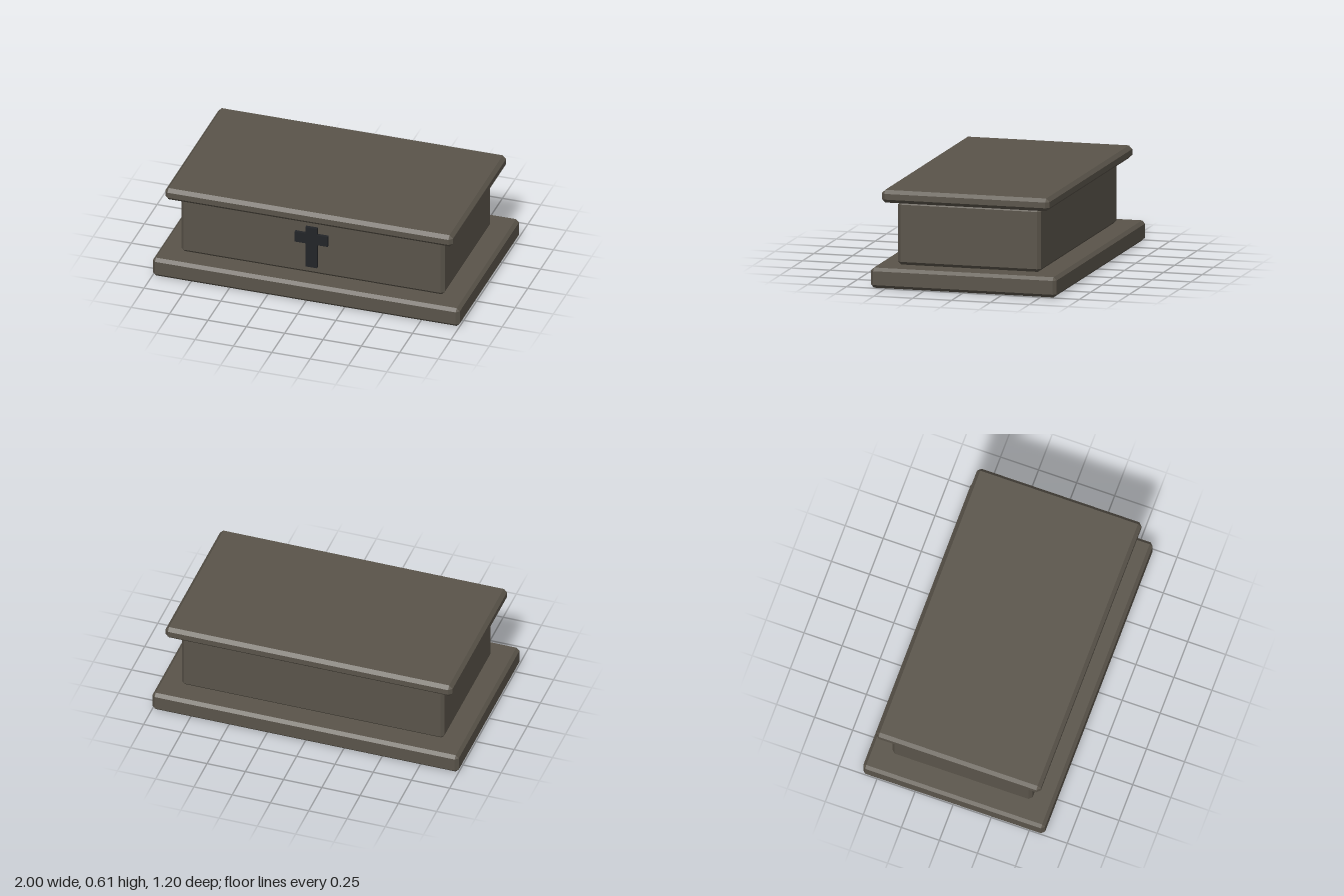
import * as THREE from 'three';
import { ConvexGeometry } from 'three/addons/geometries/ConvexGeometry.js';

// Box with bevelled edges: three points around each corner, wrapped in a hull
function chamferBox(w, h, d, b) {
  const points = [];
  for (const sx of [-1, 1]) for (const sy of [-1, 1]) for (const sz of [-1, 1]) {
    const x = w / 2, y = h / 2, z = d / 2;
    points.push(
      new THREE.Vector3(sx * x, sy * (y - b), sz * (z - b)),
      new THREE.Vector3(sx * (x - b), sy * y, sz * (z - b)),
      new THREE.Vector3(sx * (x - b), sy * (y - b), sz * z)
    );
  }
  return new ConvexGeometry(points);
}

export function createModel() {
  const stone = new THREE.MeshStandardMaterial({ color: 0x5a544a });
  stone.name = 'weathered stone';
  const iron = new THREE.MeshStandardMaterial({ color: 0x222428 });
  iron.name = 'dark iron';

  const model = new THREE.Group();
  model.name = 'stoneTomb';

  // Stacked slabs: name, width, bottom, top, depth, bevel, z offset
  const slabs = [
    ['base', 2.0, 0.003, 0.13, 1.195, 0.02, 0],
    ['body', 1.715, 0.13, 0.53, 0.92, 0.02, 0.004],
    ['lid', 1.875, 0.53, 0.61, 1.08, 0.022, 0.006],
  ];
  for (const [name, w, y0, y1, d, bevel, z] of slabs) {
    const slab = new THREE.Mesh(chamferBox(w, y1 - y0, d, bevel), stone);
    slab.name = name;
    slab.position.set(0, (y0 + y1) / 2, z);
    model.add(slab);
  }

  // Raised cross on the front of the body, as one outline
  const half = [[0.038, 0.19], [0.038, 0.355], [0.108, 0.355], [0.108, 0.425], [0.038, 0.425], [0.038, 0.47]];
  const mirrored = half.map(([x, y]) => [-x, y]).reverse();
  const outline = new THREE.Shape([...half, ...mirrored].map(([x, y]) => new THREE.Vector2(x, y)));
  const cross = new THREE.Mesh(new THREE.ExtrudeGeometry(outline, { depth: 0.035, bevelEnabled: false }), iron);
  cross.name = 'frontCross';
  cross.position.z = 0.45;
  model.add(cross);

  return model;
}
